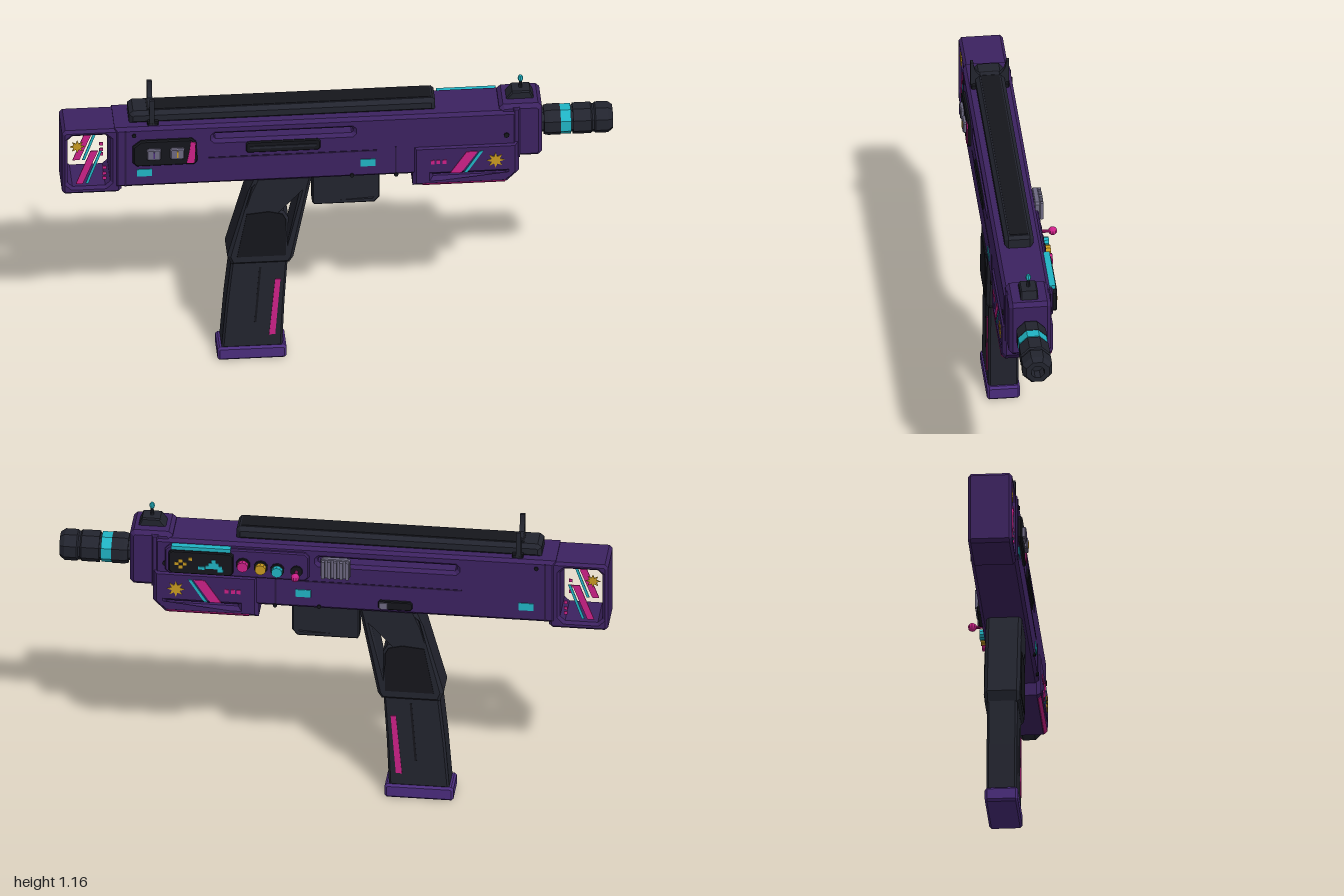
import * as THREE from 'three';

const CZ = 0.025; // centre plane of the body

function mat(name, color) {
  const m = new THREE.MeshStandardMaterial({ color, flatShading: true });
  m.name = name;
  return m;
}

export function createModel() {
  const root = new THREE.Group();
  root.name = 'toyBlaster';
  const purple = mat('deep purple', 0x3c2260), violet = mat('bright violet', 0x4a2c7c);
  const dusk = mat('dark purple', 0x2a1842), black = mat('charcoal', 0x22242e);
  const ink = mat('near black', 0x15161c), grey = mat('grey lavender', 0x6c6880);
  const teal = mat('teal', 0x20b4c4), pink = mat('magenta', 0xcc2088), gold = mat('gold', 0xc89a20);

  const add = (name, geo, m, x = 0, y = 0, z = 0, parent = root) => {
    const mesh = new THREE.Mesh(geo, m);
    mesh.name = name;
    mesh.position.set(x, y, z);
    parent.add(mesh);
    return mesh;
  };
  // box given by its limits
  const box = (name, m, x0, x1, y0, y1, z0, z1) =>
    add(name, new THREE.BoxGeometry(x1 - x0, y1 - y0, z1 - z0), m, (x0 + x1) / 2, (y0 + y1) / 2, (z0 + z1) / 2);
  // side profile extruded along z between z0 and z1, with chamfered rims
  const slab = (name, m, pts, z0, z1, bevel = 0, holes = []) => {
    const s = new THREE.Shape(pts.map(p => new THREE.Vector2(...p)));
    s.holes = holes.map(h => new THREE.Path(h.map(p => new THREE.Vector2(...p))));
    const g = new THREE.ExtrudeGeometry(s, {
      depth: z1 - z0 - 2 * bevel, bevelEnabled: bevel > 0, bevelThickness: bevel,
      bevelSize: bevel, bevelOffset: -bevel, bevelSegments: 1, curveSegments: 6,
    });
    return add(name, g, m, 0, 0, z0 + bevel);
  };
  // rectangle with cut corners
  const cut = (x0, x1, y0, y1, c) => [[x0 + c, y0], [x1 - c, y0], [x1, y0 + c], [x1, y1 - c],
    [x1 - c, y1], [x0 + c, y1], [x0, y1 - c], [x0, y0 + c]];
  const mid = (name, m, pts, half, bevel, holes) => slab(name, m, pts, CZ - half, CZ + half, bevel, holes);
  // thin plate on side s (+1 front, -1 back) at distance d from the centre plane
  const plate = (name, m, pts, s, d, t = 0.004) => {
    const z = CZ + s * d;
    return slab(name, m, pts, Math.min(z, z + s * t), Math.max(z, z + s * t));
  };
  const rect = (x0, x1, y0, y1) => [[x0, y0], [x1, y0], [x1, y1], [x0, y1]];
  const star = (x, y, r) => Array.from({ length: 16 }, (_, i) => {
    const a = i * Math.PI / 8, q = i % 2 ? r * 0.5 : r;
    return [x + q * Math.cos(a), y + q * Math.sin(a)];
  });

  // receiver with a slot running right through it
  mid('receiver', purple, rect(-0.81, 0.65, 0.793, 1.05), 0.085, 0.012,
    [cut(-0.45, 0.055, 0.983, 1.007, 0.006)]);
  mid('frontBlock', purple, cut(0.585, 0.74, 0.845, 1.07, 0.014), 0.077, 0.014);
  mid('frontCollar', purple, rect(0.635, 0.66, 0.845, 1.06), 0.082, 0.006);

  // hollow stock
  mid('stock', purple, cut(-1, -0.785, 0.77, 1.045, 0.012), 0.08, 0.01,
    [cut(-0.98, -0.825, 0.80, 1.02, 0.018)]);

  // handguard with a narrow slit
  mid('handguard', purple, [[0.27, 0.745], [0.61, 0.745], [0.655, 0.79], [0.655, 0.92], [0.27, 0.92]], 0.092, 0.014,
    [rect(0.345, 0.605, 0.782, 0.79)]);

  // top rail
  mid('topRail', black, [[-0.755, 1.045], [0.355, 1.045], [0.355, 1.085], [0.345, 1.097], [-0.74, 1.097], [-0.755, 1.085]], 0.053, 0.014);
  mid('railInset', ink, rect(-0.69, 0.34, 1.09, 1.099), 0.034);

  // rear sight: a U with two curved horns
  const u = new THREE.Shape();
  u.moveTo(-0.07, 1.05); u.lineTo(0.07, 1.05); u.lineTo(0.07, 1.157); u.lineTo(0.06, 1.157);
  u.quadraticCurveTo(0.058, 1.115, 0.035, 1.1); u.lineTo(-0.035, 1.1);
  u.quadraticCurveTo(-0.058, 1.115, -0.06, 1.157); u.lineTo(-0.07, 1.157);
  const sight = add('rearSight', new THREE.ExtrudeGeometry(u, { depth: 0.018, bevelEnabled: false, curveSegments: 5 }), black, -0.682, 0, CZ);
  sight.rotation.y = Math.PI / 2;
  mid('rearSightFoot', ink, rect(-0.69, -0.65, 1.045, 1.065), 0.07, 0.004);

  // front sight
  mid('frontSightBase', black, [[0.61, 1.065], [0.715, 1.065], [0.70, 1.1], [0.635, 1.1]], 0.032, 0.005);
  add('frontSightPost', new THREE.CylinderGeometry(0.005, 0.007, 0.045, 8), black, 0.667, 1.115, CZ);
  const bead = add('frontSightBead', new THREE.SphereGeometry(0.01, 8, 6), teal, 0.667, 1.138, CZ);
  bead.scale.y = 1.4;

  // eight-sided barrel, profile as [x, radius]
  const turned = (name, m, prof) => {
    const g = new THREE.LatheGeometry(prof.map(([x, r]) => new THREE.Vector2(r, x)), 8, Math.PI / 8);
    const b = add(name, g, m, 0, 0.952, CZ);
    b.rotation.z = -Math.PI / 2;
  };
  turned('barrel', black, [[0.73, 0.045], [0.75, 0.045], [0.75, 0.054], [0.765, 0.058], [0.81, 0.058], [0.81, 0.05], [0.855, 0.05],
    [0.855, 0.058], [0.92, 0.058], [0.925, 0.053], [0.932, 0.053], [0.937, 0.058], [0.982, 0.058], [1, 0.045], [1, 0.026], [0.96, 0.024], [0.96, 0]]);
  turned('barrelRing', teal, [[0.81, 0.045], [0.81, 0.056], [0.848, 0.056], [0.848, 0.045]]);

  // trigger guard and trigger
  mid('triggerGuard', black, [[-0.09, 0.655], [-0.082, 0.645], [0.135, 0.645], [0.155, 0.668], [0.155, 0.80], [-0.09, 0.80]], 0.032, 0.005,
    [[[-0.074, 0.667], [0.125, 0.667], [0.135, 0.678], [0.135, 0.792], [-0.074, 0.792]]]);
  mid('trigger', ink, [[-0.035, 0.735], [-0.022, 0.728], [-0.006, 0.75], [0.003, 0.80], [-0.018, 0.80], [-0.018, 0.757]], 0.012);

  // open grip with its raised cheek panels
  mid('grip', black, [[-0.40, 0.455], [-0.385, 0.417], [-0.175, 0.417], [-0.16, 0.44], [-0.10, 0.75], [-0.09, 0.80], [-0.295, 0.80], [-0.325, 0.73]], 0.065, 0.012,
    [[[-0.322, 0.655], [-0.302, 0.75], [-0.265, 0.785], [-0.125, 0.785], [-0.18, 0.51], [-0.178, 0.61], [-0.195, 0.64], [-0.25, 0.66]]]);
  for (const s of [1, -1])
    plate('gripPanel', ink, [[-0.365, 0.455], [-0.188, 0.455], [-0.188, 0.61], [-0.2, 0.635], [-0.25, 0.648], [-0.33, 0.64]], s, 0.064, 0.004);
  mid('loadedRound', gold, [[-0.325, 0.645], [-0.262, 0.652], [-0.265, 0.667], [-0.32, 0.66]], 0.035);

  // magazine
  mid('magazine', black, [[-0.42, 0.05], [-0.2, 0.05], [-0.192, 0.24], [-0.18, 0.43], [-0.385, 0.43], [-0.405, 0.24]], 0.055, 0.008);
  mid('magazineBase', violet, cut(-0.435, -0.185, 0, 0.055, 0.008), 0.06, 0.008);

  // matching details on both sides
  for (const s of [1, -1]) {
    plate('magazineStripe', pink, [[-0.248, 0.105], [-0.226, 0.105], [-0.207, 0.345], [-0.226, 0.345]], s, 0.054);
    plate('magazineGroove', ink, [[-0.302, 0.16], [-0.294, 0.16], [-0.276, 0.40], [-0.284, 0.40]], s, 0.054, 0.002);
    for (const x of [-0.73, 0.08]) plate('tealTag', teal, rect(x, x + 0.055, 0.842, 0.872), s, 0.084);
    // handguard graphics
    plate('guardSun', gold, star(0.57, 0.848, 0.032), s, 0.091);
    plate('guardStripe', pink, [[0.405, 0.8], [0.445, 0.8], [0.505, 0.89], [0.465, 0.89]], s, 0.091);
    plate('guardThinStripe', teal, [[0.455, 0.8], [0.467, 0.8], [0.525, 0.89], [0.513, 0.89]], s, 0.091);
    for (const x of [0.335, 0.355, 0.378]) plate('guardDash', pink, rect(x, x + 0.014, 0.842, 0.858), s, 0.091);
    const trim = add('guardTrim', new THREE.BoxGeometry(0.3, 0.016, 0.006), pink, 0.455, 0.752, CZ + s * 0.085);
    trim.rotation.x = s * Math.PI / 4;
    // stock graphics
    plate('stockSun', gold, star(-0.945, 0.977, 0.027), s, 0.074);
    plate('stockStripe', pink, [[-0.95, 0.815], [-0.925, 0.815], [-0.87, 0.955], [-0.897, 0.955]], s, 0.074);
    plate('stockThinStripe', teal, [[-0.915, 0.815], [-0.905, 0.815], [-0.855, 0.955], [-0.865, 0.955]], s, 0.074);
    for (const y of [0.83, 0.85, 0.875]) plate('stockDash', pink, rect(-0.853, -0.84, y, y + 0.012), s, 0.074);
    // panel seams and pins
    plate('rearSeam', dusk, rect(-0.775, -0.768, 0.80, 1.04), s, 0.084, 0.003);
    plate('midSeam', dusk, rect(0.205, 0.212, 0.80, 0.92), s, 0.084, 0.003);
    plate('slotSeam', dusk, rect(-0.47, 0.14, 0.905, 0.911), s, 0.084, 0.003);
    for (const [x, y, r] of [[0.05, 0.805, 0.008], [0.21, 0.80, 0.008], [0.61, 0.95, 0.01], [-0.74, 1.02, 0.008]]) {
      const pin = add('pin', new THREE.CylinderGeometry(r, r, 0.01, 8), ink, x, y, CZ + s * 0.085);
      pin.rotation.x = Math.PI / 2;
    }
  }

  // front side: selector panel and port cover
  slab('selectorPanel', ink, [[-0.745, 0.905], [-0.73, 0.89], [-0.52, 0.89], [-0.51, 0.905], [-0.515, 0.985], [-0.53, 1.0], [-0.715, 1.0], [-0.745, 0.975]], 0.1, 0.122, 0.005);
  for (const x of [-0.695, -0.61]) {
    slab('selectorButton', grey, cut(x, x + 0.052, 0.922, 0.968, 0.005), 0.115, 0.134, 0.004);
    box('buttonMark', x < -0.65 ? violet : gold, x + 0.023, x + 0.029, 0.932, 0.958, 0.132, 0.136);
  }
  slab('selectorAccent', pink, [[-0.55, 0.9], [-0.522, 0.9], [-0.517, 0.985], [-0.535, 0.992], [-0.54, 0.95]], 0.12, 0.125);
  slab('portCover', ink, cut(-0.335, -0.065, 0.925, 0.972, 0.008), 0.1, 0.116, 0.004);
  box('portLine', black, -0.32, -0.08, 0.944, 0.954, 0.114, 0.119);

  // back side: ribbed charging handle and latch
  box('handleStem', ink, -0.05, 0.01, 0.975, 1.01, -0.075, 0.02);
  slab('chargingHandle', grey, cut(-0.065, 0.042, 0.94, 1.02, 0.008), -0.085, -0.064, 0.003);
  for (let i = 0; i < 5; i++) box('handleRib', grey, -0.062 + i * 0.022, -0.05 + i * 0.022, 0.945, 1.015, -0.097, -0.08);
  slab('latch', ink, cut(-0.29, -0.165, 0.815, 0.85, 0.008), -0.073, -0.058, 0.003);
  box('latchTab', grey, -0.20, -0.17, 0.82, 0.845, -0.078, -0.07);

  // back side: console with display, buttons and joystick
  slab('console', purple, cut(0.085, 0.61, 0.915, 1.03, 0.015), -0.072, -0.055, 0.005);
  slab('display', ink, cut(0.36, 0.595, 0.925, 1.02, 0.012), -0.088, -0.065, 0.004);
  box('displayLight', teal, 0.37, 0.585, 1.022, 1.036, -0.083, -0.055);
  [[0.55, 0.98], [0.535, 0.968], [0.55, 0.955], [0.565, 0.968], [0.515, 0.99]].forEach(([x, y]) =>
    box('goldPixel', gold, x - 0.007, x + 0.007, y - 0.006, y + 0.006, -0.091, -0.086));
  [[0.43, 0.96, 0.03], [0.43, 0.972, 0.018], [0.43, 0.985, 0.007], [0.475, 0.955, 0.012], [0.405, 0.948, 0.01]].forEach(([x, y, w]) =>
    box('tealPixel', teal, x - w, x + w, y - 0.006, y + 0.006, -0.091, -0.086));
  const knob = (name, m, x, y, r, z0, z1) => {
    const k = add(name, new THREE.CylinderGeometry(r, r, z1 - z0, 10), m, x, y, (z0 + z1) / 2);
    k.rotation.x = Math.PI / 2;
  };
  [[0.325, 0.972, pink], [0.26, 0.965, gold], [0.2, 0.958, teal]].forEach(([x, y, m]) => {
    knob('buttonCollar', ink, x, y, 0.026, -0.08, -0.06);
    knob('consoleButton', m, x, y, 0.02, -0.098, -0.078);
  });
  knob('joystickCollar', ink, 0.13, 0.957, 0.022, -0.08, -0.06);
  knob('joystickStem', pink, 0.13, 0.957, 0.006, -0.115, -0.075);
  add('joystickBall', new THREE.SphereGeometry(0.016, 10, 8), pink, 0.13, 0.957, -0.12);

  return root;
}
